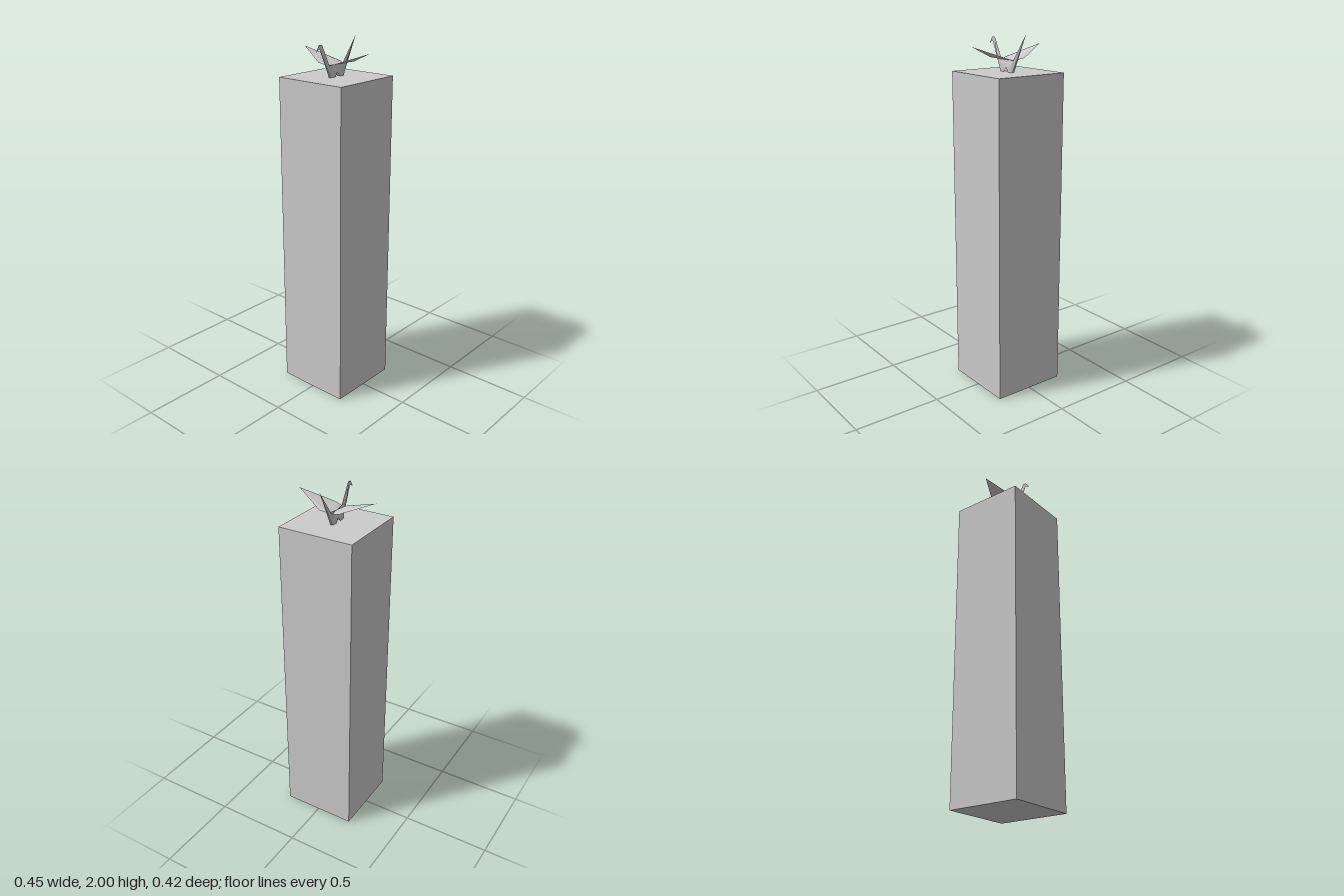
import * as THREE from 'three';

const material = new THREE.MeshStandardMaterial({
  color: 0xcccccc, flatShading: true, side: THREE.DoubleSide,
});

// Folded paper: each panel is a convex list of corners, fanned into triangles
function paper(name, panels) {
  const positions = [];
  for (const p of panels) {
    for (let i = 1; i < p.length - 1; i++) positions.push(...p[0], ...p[i], ...p[i + 1]);
  }
  const geometry = new THREE.BufferGeometry();
  geometry.setAttribute('position', new THREE.Float32BufferAttribute(positions, 3));
  geometry.computeVertexNormals();
  const mesh = new THREE.Mesh(geometry, material);
  mesh.name = name;
  return mesh;
}

// One wing: a kite rising from the body, creased along its middle
function wing(s) {
  const root = [0, 1.86, 0], tip = [s * 0.225, 1.937, 0];
  const panels = [];
  for (const f of [1, -1]) {
    const inner = [s * 0.011, 1.862, f * 0.066];
    const outer = [s * 0.057, 1.872, f * 0.075];
    const half = [[root, inner, tip], [inner, outer, tip]];
    // order the corners so that the upper side is the front
    panels.push(...half.map((t) => (s * f > 0 ? t : [...t].reverse())));
  }
  return paper(s > 0 ? 'leftWing' : 'rightWing', panels);
}

// Half of the body, drawn out towards f into the neck (f = 1) or the tail (f = -1)
function bodyPanels(f, side) {
  const apex = f > 0 ? [side * 0.002, 1.972, 0.112] : [0, 1.997, -0.157];
  const back = f > 0 ? [0, 1.948, 0.127] : apex;
  const shoulder = [side * 0.011, 1.862, f * 0.066];
  const heel = [side * 0.006, 1.797, f * 0.052];
  const toe = [side * 0.01, 1.797, f * 0.018];
  const notch = [side * 0.007, 1.82, 0];
  const root = [0, 1.86, 0];
  const panels = [
    [shoulder, heel, back],
    [shoulder, toe, heel],
    [shoulder, notch, toe],
    [shoulder, root, notch],
    [heel, [0, 1.797, f * 0.052], back],
  ];
  if (f > 0) panels.push([shoulder, back, apex]);
  return side * f > 0 ? panels.map((p) => [...p].reverse()) : panels;
}

// Bent-down head with a pointed beak
function headPanels(side) {
  const panel = [
    [side * 0.002, 1.972, 0.112],
    [side * 0.003, 1.974, 0.13],
    [0, 1.937, 0.157],
    [0, 1.948, 0.127],
  ];
  // lower edge of the beak is tucked up against the neck
  panel[3] = [0, 1.951, 0.133];
  const throat = [panel[0], panel[3], [0, 1.948, 0.127]];
  const panels = [panel, throat];
  return side > 0 ? panels.map((p) => [...p].reverse()) : panels;
}

export function createModel() {
  const model = new THREE.Group();
  model.name = 'craneOnPedestal';

  // Tall square pedestal
  const pedestal = new THREE.Mesh(new THREE.BoxGeometry(0.427, 1.797, 0.422), material);
  pedestal.name = 'pedestal';
  pedestal.position.set(-0.001, 0.8985, -0.001);
  model.add(pedestal);

  // Folded paper crane
  const crane = new THREE.Group();
  crane.name = 'paperCrane';
  crane.add(wing(1), wing(-1));
  crane.add(paper('neck', [1, -1].flatMap((s) => bodyPanels(1, s))));
  crane.add(paper('tail', [1, -1].flatMap((s) => bodyPanels(-1, s))));
  crane.add(paper('head', [1, -1].flatMap(headPanels)));
  model.add(crane);
  return model;
}
